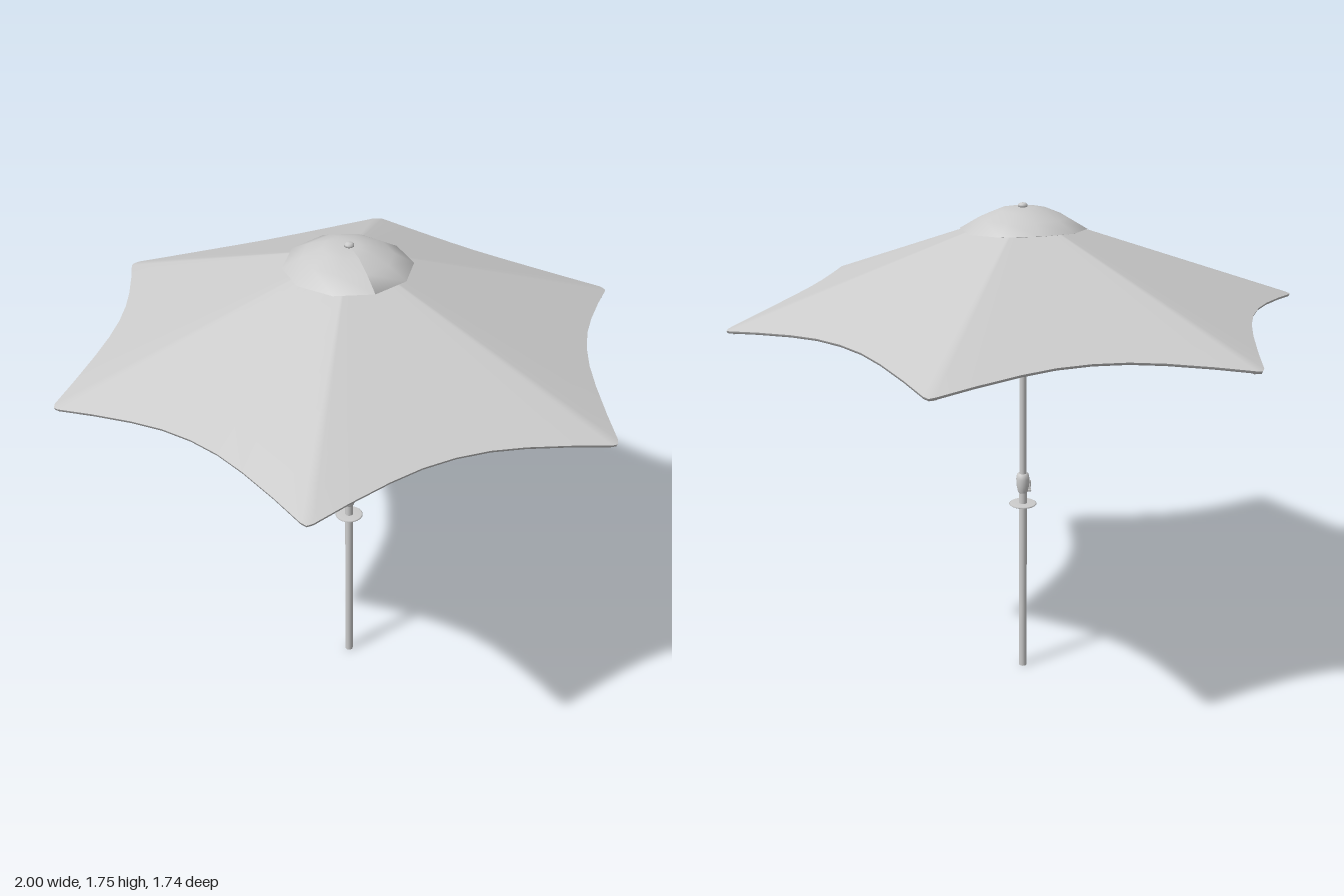
import * as THREE from 'three';

const mat = new THREE.MeshStandardMaterial({ color: 0xcccccc });
const clothMat = new THREE.MeshStandardMaterial({ color: 0xcccccc, side: THREE.DoubleSide });
const SIDES = 6;

function add(parent, name, geometry, material = mat) {
  const mesh = new THREE.Mesh(geometry, material);
  mesh.name = name;
  parent.add(mesh);
  return mesh;
}

// Solid of revolution from [radius, height] pairs, listed bottom to top
function turned(parent, name, profile, segments = 20, material = mat) {
  const points = profile.map(([r, y]) => new THREE.Vector2(r, y));
  return add(parent, name, new THREE.LatheGeometry(points, segments), material);
}

// Straight rod between two points
function rod(parent, name, a, b, radius, sides = 8) {
  const start = new THREE.Vector3(...a), end = new THREE.Vector3(...b);
  const dir = end.clone().sub(start);
  const mesh = add(parent, name, new THREE.CylinderGeometry(radius, radius, dir.length(), sides));
  mesh.position.copy(start).add(end).multiplyScalar(0.5);
  mesh.quaternion.setFromUnitVectors(new THREE.Vector3(0, 1, 0), dir.normalize());
  return mesh;
}

// Scalloped rim: each panel edge as [along, outward, height], mirrored about its middle
function canopyRim() {
  const half = [[0, 0.785, 1.417], [0.11, 0.791, 1.415], [0.22, 0.808, 1.408],
    [0.36, 0.838, 1.395], [0.48, 0.868, 1.382]];
  const edge = [[-0.5, 0.866, 1.379],
    ...half.slice(1).reverse().map(([t, n, y]) => [-t, n, y]), ...half];
  const rim = [];
  for (let i = 0; i < SIDES; i++) {
    const a = (i + 0.5) * Math.PI * 2 / SIDES;
    for (const [t, n, y] of edge) {
      rim.push(new THREE.Vector3(n * Math.cos(a) - t * Math.sin(a), y, n * Math.sin(a) + t * Math.cos(a)));
    }
  }
  return rim;
}

// Skin rows of equal length, closed around the axis
function loft(rows) {
  const n = rows[0].length, pos = [], index = [];
  rows.forEach(row => row.forEach(p => pos.push(p.x, p.y, p.z)));
  for (let r = 0; r < rows.length - 1; r++) {
    for (let i = 0; i < n; i++) {
      const a = r * n + i, b = r * n + (i + 1) % n;
      index.push(a, b, a + n, b, b + n, a + n);
    }
  }
  const g = new THREE.BufferGeometry();
  g.setAttribute('position', new THREE.Float32BufferAttribute(pos, 3));
  g.setIndex(index);
  g.computeVertexNormals();
  return g;
}

export function createModel() {
  const model = new THREE.Group();
  model.name = 'parasol';

  // Canopy cloth and its turned-under hem
  const rim = canopyRim();
  const apex = new THREE.Vector3(0, 1.73, 0);
  const rows = [];
  for (let k = 0; k <= 8; k++) {
    const f = 0.02 + 0.98 * k / 8;
    rows.push(rim.map(p => apex.clone().lerp(p, f)));
  }
  add(model, 'canopy', loft(rows), clothMat);
  const drop = (s, d) => rim.map(p => new THREE.Vector3(p.x * s, p.y - d, p.z * s));
  add(model, 'hem', loft([rim, drop(0.996, 0.008), drop(0.975, 0.003)]), clothMat);

  // Vent cap, lifted a little at the back
  const cap = turned(model, 'ventCap', [[0.19, 1.663], [0.215, 1.666], [0.15, 1.704],
    [0.085, 1.731], [0.04, 1.737], [0.001, 1.738]], 10, clothMat);
  const p = cap.geometry.attributes.position;
  for (let i = 0; i < p.count; i++) {
    const back = Math.max(0, -p.getZ(i) / 0.215);
    p.setY(i, p.getY(i) + 0.014 * back * back);
    p.setZ(i, p.getZ(i) - 0.008);
  }
  cap.geometry.computeVertexNormals();

  // Finial
  turned(model, 'finial', [[0.009, 1.735], [0.016, 1.739], [0.016, 1.746], [0.01, 1.751], [0, 1.752]], 16);

  // Ribs, stretchers and the pockets that hold the rib ends
  const frame = new THREE.Group();
  frame.name = 'frame';
  model.add(frame);
  for (let i = 0; i < SIDES; i++) {
    const arm = new THREE.Group();
    arm.name = 'arm';
    arm.rotation.y = i * Math.PI * 2 / SIDES;
    rod(arm, 'rib', [0.02, 1.708, 0], [0.96, 1.378, 0], 0.007);
    rod(arm, 'stretcher', [0.02, 1.49, 0], [0.4, 1.573, 0], 0.006);
    rod(arm, 'ribPocket', [0.9, 1.402, 0], [0.98, 1.375, 0], 0.02, 10).scale.x = 0.45;
    frame.add(arm);
  }
  turned(frame, 'topHub', [[0, 1.69], [0.024, 1.69], [0.026, 1.7], [0.024, 1.72], [0, 1.72]]);
  turned(frame, 'runner', [[0, 1.475], [0.021, 1.475], [0.023, 1.49], [0.021, 1.505], [0, 1.505]]);

  // Two-part pole
  turned(model, 'lowerPole', [[0, 0], [0.0145, 0], [0.0145, 0.71], [0, 0.71]]);
  turned(model, 'upperPole', [[0, 0.7], [0.0125, 0.7], [0.0125, 1.735], [0, 1.735]]);

  // Crank housing with its folded handle on the right side
  turned(model, 'crankHousing', [[0.014, 0.705], [0.018, 0.71], [0.023, 0.735], [0.024, 0.76],
    [0.021, 0.777], [0.013, 0.78]]);
  const crank = new THREE.Group();
  crank.name = 'crank';
  rod(crank, 'crankAxle', [-0.018, 0.745, 0], [-0.028, 0.745, 0], 0.005);
  rod(crank, 'crankArm', [-0.027, 0.75, 0], [-0.025, 0.712, 0], 0.004);
  rod(crank, 'crankKnob', [-0.03, 0.712, 0], [-0.017, 0.712, 0], 0.006);
  model.add(crank);

  // Small round disc on the pole
  turned(model, 'disc', [[0.014, 0.656], [0.046, 0.659], [0.05, 0.662], [0.046, 0.665], [0.014, 0.665]], 28);

  return model;
}
